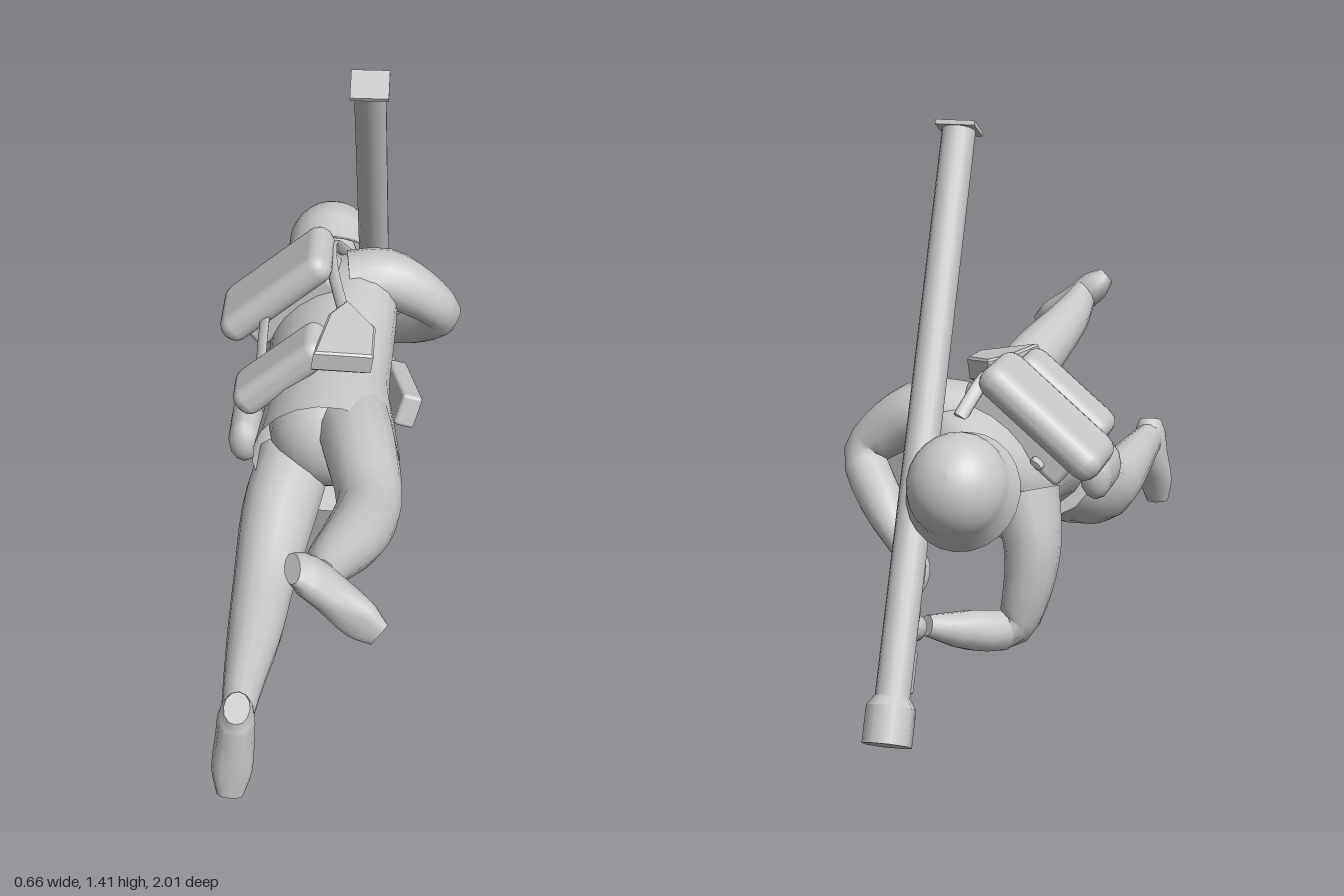
import * as THREE from 'three';
import { RoundedBoxGeometry } from 'three/addons/geometries/RoundedBoxGeometry.js';

const V = (x, y, z) => new THREE.Vector3(x, y, z);
const LATERAL = V(0.76, 0.65, 0); // shoulder-to-shoulder axis of the rolled body
const ROLL = 0.71;

// Loft through stations [x, y, z, a, b]; a is the radius along ref, b across it
function loft(stations, ref, sides = 14, sub = 3, openStart = false) {
  const path = new THREE.CatmullRomCurve3(stations.map(s => V(s[0], s[1], s[2])));
  const size = new THREE.CatmullRomCurve3(stations.map((s, i) => V(s[3], s[4], i * 0.1)));
  const n = (stations.length - 1) * sub;
  const pos = [], idx = [];
  const put = p => pos.push(p.x, p.y, Math.min(p.z, 1));
  for (let i = 0; i <= n; i++) {
    const c = path.getPoint(i / n), t = path.getTangent(i / n), r = size.getPoint(i / n);
    const u = ref.clone().addScaledVector(t, -ref.dot(t)).normalize();
    const v = t.clone().cross(u);
    for (let j = 0; j < sides; j++) {
      const q = (j / sides) * Math.PI * 2;
      put(c.clone().addScaledVector(u, Math.cos(q) * r.x).addScaledVector(v, Math.sin(q) * r.y));
    }
  }
  for (let i = 0; i < n; i++) for (let j = 0; j < sides; j++) {
    const a = i * sides + j, b = i * sides + (j + 1) % sides;
    idx.push(a, b, a + sides, b, b + sides, a + sides);
  }
  // End caps with their own vertices, so the rims stay crisp
  for (const end of openStart ? [n] : [0, n]) {
    const base = pos.length / 3;
    put(path.getPoint(end / n));
    for (let j = 0; j < sides; j++) pos.push(...pos.slice((end * sides + j) * 3, (end * sides + j) * 3 + 3));
    for (let j = 0; j < sides; j++) {
      const a = base + 1 + j, b = base + 1 + (j + 1) % sides;
      if (end) idx.push(base, a, b); else idx.push(base, b, a);
    }
  }
  const g = new THREE.BufferGeometry();
  g.setAttribute('position', new THREE.Float32BufferAttribute(pos, 3));
  g.setIndex(idx);
  g.computeVertexNormals();
  return g;
}

export function createModel() {
  const model = new THREE.Group();
  model.name = 'proneSoldier';
  const grey = new THREE.MeshStandardMaterial({ color: 0xc8c8c8, side: THREE.DoubleSide });
  grey.name = 'plainGrey';

  const add = (name, geo, parent = model) => {
    const m = new THREE.Mesh(geo, grey);
    m.name = name;
    parent.add(m);
    return m;
  };
  const Z = V(0, 0, 1);
  const box = (name, size, at, rot, round) => {
    const m = add(name, new RoundedBoxGeometry(...size, 2, round));
    m.position.set(...at);
    m.rotation.set(...rot);
  };

  // Tunic with open flared skirt, chest, shoulders and collar
  add('tunic', loft([
    [-0.01, 0.49, 0.13, 0.19, 0.2],
    [-0.015, 0.51, 0.02, 0.185, 0.172],
    [-0.02, 0.53, -0.12, 0.175, 0.15],
    [-0.02, 0.57, -0.3, 0.19, 0.145],
    [-0.02, 0.595, -0.43, 0.195, 0.13],
    [-0.035, 0.605, -0.53, 0.145, 0.095],
    [-0.045, 0.605, -0.595, 0.078, 0.075],
  ], LATERAL, 20, 3, true));
  add('hips', new THREE.SphereGeometry(0.155, 18, 12)).position.set(-0.015, 0.505, 0.005);
  add('neck', loft([[-0.045, 0.605, -0.57, 0.062, 0.062], [-0.045, 0.595, -0.63, 0.06, 0.06], [-0.045, 0.585, -0.68, 0.06, 0.06]], LATERAL));

  // Head under a brimmed helmet, tipped forward along the line of sight
  const head = new THREE.Group();
  head.name = 'head';
  head.position.set(-0.045, 0.593, -0.73);
  head.rotation.x = -1.05;
  model.add(head);
  const dome = [[0.115, 0], [0.137, -0.02], [0.14, -0.012], [0.124, 0.022]];
  for (let i = 1; i <= 9; i++) {
    const q = (i / 9) * Math.PI / 2;
    dome.push([0.124 * Math.cos(q), 0.035 + 0.128 * Math.sin(q)]);
  }
  add('helmet', new THREE.LatheGeometry(dome.map(p => new THREE.Vector2(...p)), 24), head).scale.z = 1.05;
  const skull = add('face', new THREE.SphereGeometry(0.085, 16, 12), head);
  skull.scale.set(0.9, 1.15, 1.05);
  skull.position.set(0, -0.015, 0.005);

  // Legs
  add('leftLeg', loft([
    [0.05, 0.56, 0.03, 0.1, 0.1], [0.085, 0.565, 0.2, 0.095, 0.105], [0.115, 0.555, 0.4, 0.083, 0.086],
    [0.09, 0.605, 0.6, 0.078, 0.08], [0.04, 0.675, 0.8, 0.058, 0.06], [0.025, 0.715, 0.92, 0.038, 0.05],
  ], V(1, 0, 0)));
  add('rightLeg', loft([
    [-0.1, 0.42, 0.03, 0.1, 0.1], [-0.13, 0.36, 0.18, 0.1, 0.108], [-0.155, 0.29, 0.4, 0.08, 0.09],
    [-0.163, 0.28, 0.58, 0.07, 0.078], [-0.173, 0.29, 0.78, 0.052, 0.062], [-0.178, 0.295, 0.92, 0.04, 0.05],
  ], V(1, 0, 0)));

  // Boots, heel to toe, with flat soles at the rear
  add('leftBoot', loft([
    [-0.038, 0.775, 0.96, 0.045, 0.026], [-0.005, 0.745, 0.945, 0.06, 0.044], [0.05, 0.697, 0.948, 0.058, 0.046],
    [0.12, 0.64, 0.97, 0.04, 0.052], [0.165, 0.61, 0.985, 0.018, 0.035],
  ], Z, 12));
  add('rightBoot', loft([
    [-0.175, 0.345, 0.958, 0.045, 0.032], [-0.178, 0.31, 0.945, 0.06, 0.045], [-0.182, 0.25, 0.948, 0.058, 0.048],
    [-0.19, 0.16, 0.97, 0.035, 0.05], [-0.195, 0.09, 0.985, 0.016, 0.032],
  ], Z, 12));

  // Arms bent towards the grips
  add('leftArm', loft([
    [0.02, 0.7, -0.43, 0.09, 0.08], [0.12, 0.705, -0.44, 0.088, 0.08], [0.21, 0.66, -0.44, 0.073, 0.07],
    [0.275, 0.59, -0.453, 0.055, 0.056], [0.215, 0.5, -0.535, 0.055, 0.055], [0.12, 0.4, -0.635, 0.032, 0.032],
  ], Z));
  add('rightArm', loft([
    [-0.13, 0.52, -0.46, 0.09, 0.09], [-0.16, 0.4, -0.49, 0.076, 0.072], [-0.15, 0.28, -0.505, 0.065, 0.06],
    [-0.118, 0.19, -0.515, 0.055, 0.05], [-0.03, 0.2, -0.6, 0.05, 0.05], [0.055, 0.235, -0.69, 0.026, 0.026],
  ], Z));
  const hands = [['leftHand', 0.095, 0.355, -0.655, 0.9, 1.35, 0.8], ['rightHand', 0.09, 0.24, -0.725, 1.05, 0.85, 1.15]];
  for (const [name, x, y, z, ...scale] of hands) {
    const hand = add(name, new THREE.SphereGeometry(0.044, 10, 8));
    hand.position.set(x, y, z);
    hand.scale.set(...scale);
    hand.rotation.x = 0.45;
  }

  // Launcher: local y runs up the barrel
  const launcher = new THREE.Group();
  launcher.name = 'launcher';
  launcher.position.set(0.08, 1.385, -0.27);
  launcher.rotation.x = 0.467;
  model.add(launcher);
  const tube = (name, r1, r2, len, y, sides) => {
    const g = new THREE.CylinderGeometry(r1, r2, len, sides).rotateY(Math.PI / sides);
    add(name, g, launcher).position.y = y;
  };
  tube('barrel', 0.042, 0.042, 1.45, -0.725, 16);
  tube('muzzle', 0.06, 0.06, 0.09, -1.478, 8);
  tube('muzzleCollar', 0.044, 0.06, 0.025, -1.421, 8);
  add('rearPlate', new THREE.BoxGeometry(0.1, 0.012, 0.09), launcher);
  const fittings = [['frontGrip', -1.338, 0.078, 0.1], ['triggerGrip', -1.21, 0.06, 0.05], ['rearGrip', -1.1, 0.065, 0.045]];
  for (const [name, y, z, len] of fittings)
    add(name, new THREE.BoxGeometry(0.045, len, 0.04), launcher).position.set(0, y, z);

  // Packs lying across the back
  box('upperPack', [0.375, 0.085, 0.22], [-0.175, 0.7, -0.4], [0, 0, ROLL], 0.04);
  box('packBase', [0.29, 0.08, 0.17], [-0.13, 0.665, -0.4], [0, 0, ROLL], 0.015);
  box('lowerPack', [0.3, 0.085, 0.15], [-0.138, 0.658, -0.045], [0, 0, ROLL], 0.035);

  // Five-sided bag beside the lower pack, with its narrow end forward
  const outline = [[-0.05, -0.04], [0.095, -0.02], [0.095, 0.1], [0.02, 0.195], [-0.02, 0.13]];
  const bag = add('bagOnHip', new THREE.ExtrudeGeometry(new THREE.Shape(outline.map(p => new THREE.Vector2(...p))),
    { depth: 0.05, bevelEnabled: true, bevelSize: 0.006, bevelThickness: 0.006, bevelSegments: 1 }).rotateX(-Math.PI / 2));
  bag.position.set(0, 0.715, 0);
  bag.rotation.set(0.08, 0, -0.15);
  const straps = [
    [[0.02, 0.755, -0.17], [-0.02, 0.785, -0.35], [-0.025, 0.79, -0.47], [0.01, 0.72, -0.54]],
    [[-0.2, 0.62, -0.1], [-0.2, 0.645, -0.35], [-0.17, 0.6, -0.5]],
  ];
  for (const s of straps) add('strap', loft(s.map(p => [...p, 0.018, 0.008]), LATERAL, 8, 4));

  // Canteen on the right hip
  const canteen = add('canteen', new THREE.CapsuleGeometry(0.043, 0.11, 4, 12));
  canteen.position.set(-0.235, 0.468, -0.04);
  canteen.rotation.x = Math.PI / 2;
  canteen.scale.z = 1.5;

  // Belt pouches on the front of the tunic
  box('leftPouch', [0.055, 0.09, 0.26], [0.175, 0.53, -0.135], [-0.2, 0.2, -0.3], 0.01);
  box('rightPouch', [0.085, 0.05, 0.26], [-0.035, 0.335, -0.14], [0.18, 0, 0.2], 0.01);

  return model;
}
